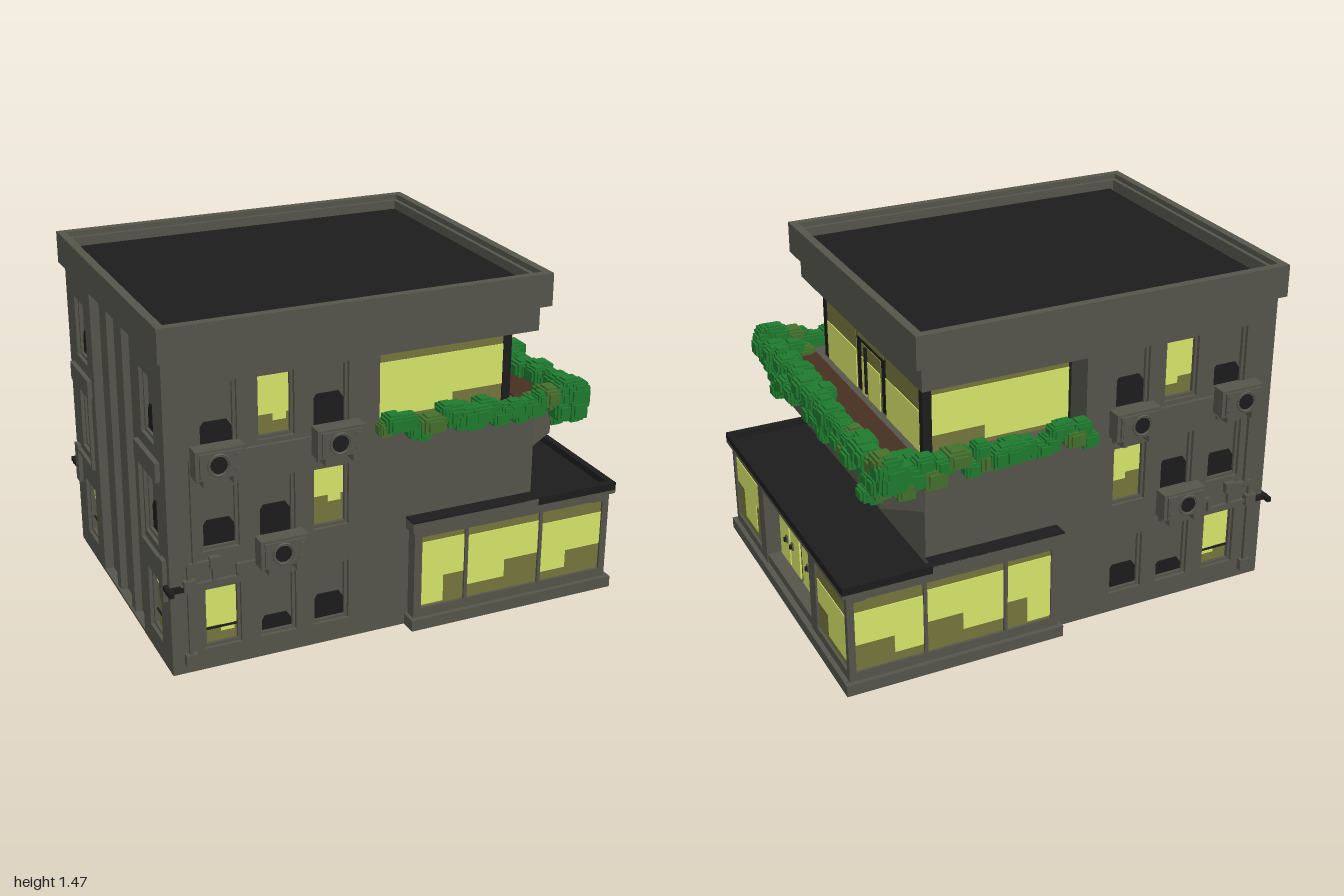
import * as THREE from 'three';
import { mergeGeometries } from 'three/addons/utils/BufferGeometryUtils.js';

const mat = (name, color) => Object.assign(new THREE.MeshStandardMaterial({ color }), { name });
const M = {
  wall: mat('wall grey', 0x55554b),
  dark: mat('charcoal', 0x1c1c1c),
  lit: mat('lit glass', 0xd8e66a),
  shade: mat('shaded glass', 0x75753d),
  leaf: mat('leaf green', 0x1f7a2e),
  moss: mat('moss green', 0x44702c),
  soil: mat('soil brown', 0x463020),
};

function add(parent, name, geometry, material) {
  const mesh = new THREE.Mesh(geometry, material);
  mesh.name = name;
  parent.add(mesh);
  return mesh;
}

// Box given by its limits
function slab(parent, name, x0, x1, y0, y1, z0, z1, material) {
  const mesh = add(parent, name, new THREE.BoxGeometry(x1 - x0, y1 - y0, z1 - z0), material);
  mesh.position.set((x0 + x1) / 2, (y0 + y1) / 2, (z0 + z1) / 2);
}

function group(parent, name, rotationY = 0) {
  const g = new THREE.Group();
  g.name = name;
  g.rotation.y = rotationY;
  parent.add(g);
  return g;
}

const poly = (S, points) => new S(points.map(p => new THREE.Vector2(...p)));
const rect = (S, x0, x1, y0, y1) => poly(S, [[x0, y0], [x1, y0], [x1, y1], [x0, y1]]);
const extrude = (shape, depth) => new THREE.ExtrudeGeometry(shape, { depth, bevelEnabled: false });
const extrudeUp = (shape, y0, y1) => extrude(shape, y1 - y0).rotateX(-Math.PI / 2).translate(0, y0, 0);

// Rectangle with a rectangular opening
function frameShape(x0, x1, y0, y1, w) {
  const shape = rect(THREE.Shape, x0, x1, y0, y1);
  shape.holes.push(rect(THREE.Path, x0 + w, x1 - w, y0 + w, y1 - w));
  return shape;
}

// Olive pane with bright rectangles [x0, x1, y0, y1] on it
function pane(parent, name, x0, x1, y0, y1, z, bright) {
  slab(parent, name, x0, x1, y0, y1, z, z + 0.004, M.shade);
  bright.forEach(b => slab(parent, name + 'Light', ...b, z + 0.003, z + 0.007, M.lit));
}

function pipe(parent, points, r = 0.008, material = M.wall) {
  points.slice(1).forEach((b, i) => {
    const a = points[i];
    const lo = k => Math.min(a[k], b[k]) - r, hi = k => Math.max(a[k], b[k]) + r;
    slab(parent, 'pipe', lo(0), hi(0), lo(1), hi(1), lo(2), hi(2), material);
  });
}

const ROWS = [0.09, 0.52, 0.95], WH = 0.268, WW = 0.078;

// Wall plate with recessed windows [centre x, row, h]: dark to height h, or lit above -h
function facade(parent, x0, x1, z, windows) {
  const shape = rect(THREE.Shape, x0, x1, 0, 1.33);
  for (const [x, row, h] of windows) {
    const y = ROWS[row], a = x - WW + 0.012, b = x + WW - 0.012;
    shape.holes.push(rect(THREE.Path, x - WW, x + WW, y, y + WH));
    add(parent, 'windowFrame', extrude(frameShape(x - WW, x + WW, y, y + WH, 0.012), 0.015).translate(0, 0, z + 0.01), M.wall);
    if (h > 0) {
      slab(parent, 'windowBlind', a, b, y, y + WH, z, z + 0.008, M.wall);
      add(parent, 'darkGlass', extrude(poly(THREE.Shape, [[a, y + 0.012], [b, y + 0.012], [b, y + h - 0.03],
        [b - 0.02, y + h], [a + 0.02, y + h], [a, y + h - 0.03]]), 0.006).translate(0, 0, z + 0.007), M.dark);
    } else {
      pane(parent, 'litWindow', a, b, y, y + WH, z + 0.003, [[a, b, y - h, y + 0.25], [x, b - 0.01, y - h - 0.03, y - h]]);
      if (row === 0) slab(parent, 'windowBar', a, b, y + 0.07, y + 0.078, z + 0.01, z + 0.016, M.dark);
    }
  }
  add(parent, 'facadeWall', extrude(shape, 0.04).translate(0, 0, z), M.wall);
}

function airConditioner(parent, x, y) {
  const g = group(parent, 'airConditioner');
  slab(g, 'casing', -0.1, 0.1, -0.06, 0.06, 0.015, 0.08, M.wall);
  slab(g, 'casingFront', -0.085, 0.085, -0.05, 0.05, 0.08, 0.09, M.wall);
  add(g, 'fanRing', new THREE.TorusGeometry(0.043, 0.004, 6, 20).translate(-0.01, 0, 0.09), M.wall);
  add(g, 'fan', new THREE.CylinderGeometry(0.034, 0.034, 0.006, 16).rotateX(Math.PI / 2).translate(-0.01, 0, 0.09), M.dark);
  for (const s of [-1, 1]) {
    slab(g, 'bracket', s * 0.06 - 0.01, s * 0.06 + 0.01, -0.09, -0.06, 0, 0.08, M.wall);
    slab(g, 'vent', 0.055, 0.078, s * 0.03 - 0.008, s * 0.03 + 0.008, 0.09, 0.094, M.wall);
  }
  slab(g, 'bracketRail', -0.075, 0.075, -0.1, -0.085, 0, 0.02, M.wall);
  g.position.set(x, y, 0.66);
}

// Everything that appears alike on the +z and -z sides
function longSide(root) {
  const g = group(root, 'longSide');
  const X = [-0.765, -0.53, -0.3];
  facade(g, -0.98, -0.09, 0.62, [
    [X[0], 0, -0.08], [X[1], 0, 0.075], [X[2], 0, 0.12],
    [X[0], 1, 0.12], [X[1], 1, 0.14], [X[2], 1, -0.13],
    [X[0], 2, 0.1], [X[1], 2, -0.09], [X[2], 2, 0.14]]);
  airConditioner(g, -0.785, 0.92);
  airConditioner(g, -0.288, 0.92);
  airConditioner(g, -0.53, 0.495);
  pipe(g, [[-0.7, 0.925, 0.67], [-0.38, 0.925, 0.67]]);
  pipe(g, [[-0.88, 0.91, 0.67], [-0.88, 0.47, 0.67], [-0.905, 0.47, 0.67], [-0.905, 0.05, 0.67]]);
  pipe(g, [[-0.93, 0.39, 0.67], [-0.7, 0.39, 0.67], [-0.7, 0.44, 0.67], [-0.63, 0.44, 0.67]]);
  pipe(g, [[-0.99, 0.385, 0.672], [-0.93, 0.385, 0.672]], 0.01, M.dark);
  pipe(g, [[-0.9, 0.48, 0.67], [-0.8, 0.48, 0.67], [-0.8, 0.39, 0.67]]);
  slab(g, 'junctionBox', -0.93, -0.88, 0.37, 0.42, 0.66, 0.69, M.wall);
  slab(g, 'junctionBox', -0.82, -0.775, 0.455, 0.5, 0.66, 0.685, M.wall);
  slab(g, 'drainFoot', -0.93, -0.88, 0.04, 0.09, 0.66, 0.685, M.wall);

  // Half of the rear wall
  const rear = group(g, 'rearWall', -Math.PI / 2);
  facade(rear, 0.29, 0.62, 0.94, [[0.46, 0, -0.2], [0.46, 1, 0.14], [0.46, 2, 0.12]]);
  slab(rear, 'rearRib', 0.08, 0.13, 0, 1.33, 0.94, 0.97, M.wall);
  slab(rear, 'rearBox', 0.33, 0.6, 0.82, 0.9, 0.98, 1, M.wall);
  slab(rear, 'rearJunction', 0.58, 0.63, 0.32, 0.5, 0.98, 0.998, M.wall);
  pipe(rear, [[0.36, 0.82, 0.988], [0.36, 0.48, 0.988], [0.58, 0.48, 0.988]]);
  pipe(rear, [[0.6, 0.385, 0.988], [0.7, 0.385, 0.988]], 0.01, M.dark);

  // Upper room glazing
  pane(g, 'upperGlass', -0.075, 0.53, 0.88, 1.185, 0.53, [[-0.075, 0.53, 0.96, 1.135], [-0.075, 0.3, 0.9, 0.96]]);
  slab(g, 'upperCornerPost', 0.53, 0.568, 0.88, 1.22, 0.505, 0.54, M.dark);

  // Shop windows
  pane(g, 'shopWindow', 0.085, 0.285, 0.09, 0.42, 0.7, [[0.085, 0.285, 0.22, 0.39], [0.085, 0.19, 0.1, 0.22]]);
  pane(g, 'shopWindow', 0.3, 0.64, 0.09, 0.42, 0.7, [[0.3, 0.64, 0.23, 0.38], [0.3, 0.48, 0.15, 0.23]]);
  pane(g, 'shopWindow', 0.655, 0.965, 0.09, 0.42, 0.7, [[0.655, 0.965, 0.21, 0.36], [0.655, 0.78, 0.13, 0.21]]);
  for (const [a, b] of [[0.05, 0.085], [0.285, 0.3], [0.64, 0.655], [0.965, 0.98]])
    slab(g, 'shopPost', a, b, 0.05, 0.45, 0.69, 0.715, M.wall);
  slab(g, 'shopSill', 0.05, 0.98, 0.05, 0.09, 0.69, 0.715, M.wall);
  slab(g, 'shopLintel', 0.05, 0.98, 0.42, 0.45, 0.69, 0.715, M.wall);
  slab(g, 'shopCornice', 0.035, 0.62, 0.45, 0.497, 0.66, 0.73, M.wall);
  slab(g, 'shopCorniceTop', 0.035, 0.62, 0.494, 0.5, 0.66, 0.73, M.dark);
  return g;
}

// Shop front with doors, and the upper room's end; here local x runs towards -z
function entranceSide(root) {
  const g = group(root, 'entranceSide', Math.PI / 2);
  for (const s of [-1, 1]) {
    const span = (a, b) => (s < 0 ? [-b, -a] : [a, b]);
    slab(g, 'shopFrontWall', ...span(0.285, 0.7), 0.05, 0.45, 0.9, 0.965, M.wall);
    slab(g, 'shopFrontPost', ...span(0.285, 0.357), 0.09, 0.42, 0.95, 0.98, M.wall);
    slab(g, 'shopFrontPost', ...span(0.688, 0.715), 0.09, 0.42, 0.95, 0.98, M.wall);
    slab(g, 'shopFrontSill', ...span(0.285, 0.715), 0.05, 0.09, 0.95, 0.98, M.wall);
    for (const [a, b, h] of [[0.018, 0.13, 0.098], [0.145, 0.268, 0.17]]) {
      slab(g, 'doorGlass', ...span(a, b), 0.095, 0.385, 0.91, 0.918, M.lit);
      slab(g, 'doorHandlePlate', ...span(h - 0.009, h + 0.009), 0.2, 0.235, 0.917, 0.925, M.wall);
      slab(g, 'doorHandle', ...span(h - 0.006, h + 0.006), 0.208, 0.227, 0.925, 0.935, M.dark);
    }
    // Upper end windows
    const [u, v] = span(0.162, 0.502);
    pane(g, 'upperEndGlass', u, v, 0.88, 1.185, 0.56, [[u, v, 0.88, 1.06]]);
  }
  pane(g, 'shopFrontWindow', -0.688, -0.357, 0.09, 0.42, 0.965, [[-0.688, -0.357, 0.265, 0.385], [-0.595, -0.43, 0.125, 0.265]]);
  pane(g, 'shopFrontWindow', 0.357, 0.688, 0.09, 0.42, 0.965, [[0.357, 0.688, 0.22, 0.33], [0.47, 0.688, 0.12, 0.22]]);
  slab(g, 'shopFrontLintel', -0.715, 0.715, 0.415, 0.45, 0.9, 0.98, M.wall);
  slab(g, 'doorStep', -0.285, 0.285, 0.05, 0.09, 0.9, 0.975, M.wall);
  pane(g, 'balconyDoor', -0.105, 0.105, 0.88, 1.11, 0.56, [[-0.1, -0.055, 0.88, 1.05], [-0.035, 0.1, 0.88, 1.05]]);
  pane(g, 'transom', -0.145, 0.145, 1.13, 1.185, 0.56, []);
  slab(g, 'balconyDoorHandle', -0.052, -0.038, 0.9, 1.11, 0.56, 0.575, M.dark);
}

// Blocky clumps of leaves along the balcony edge
function hedge(root) {
  const g = group(root, 'hedge');
  const ball = mergeGeometries([[2, 1.1, 1.1], [1.1, 2, 1.1], [1.1, 1.1, 2], [1.6, 1.6, 1.6]].map(s => new THREE.BoxGeometry(...s)));
  let seed = 7;
  const rnd = () => (seed = (seed * 16807) % 2147483647) / 2147483647;
  const vary = (v, d) => v + (rnd() - 0.5) * d;
  const clump = (x, y, z, r) => {
    const m = add(g, 'leafClump', ball, rnd() < 0.14 ? M.moss : M.leaf);
    m.position.set(x, y, z);
    m.scale.set(r * vary(1, 0.4), r * vary(0.9, 0.3), r * vary(1, 0.4));
  };
  for (const s of [-1, 1]) {
    for (let x = -0.08; x < 0.76; x += 0.034)
      clump(x, vary(x < 0.4 ? 0.92 : 0.905, 0.07), s * vary(0.685, 0.02), vary(0.042, 0.016));
    for (let i = 0; i < 4; i++) clump(0.25 + i * 0.026, vary(0.915, 0.04), s * 0.715, 0.045);
    // Hanging tufts and full corners
    for (let i = 0; i < 8; i++) clump(vary(0.785, 0.03), 0.765 + i * 0.014, s * vary(0.52, 0.03 + i * 0.014), 0.042);
    for (let i = 0; i < 9; i++) clump(vary(0.76, 0.08), vary(0.915, 0.11), s * vary(0.69, 0.06), 0.05);
    for (let i = 0; i < 12; i++) clump(vary(0.71, 0.12), vary(0.9, 0.04), s * vary(0.635, 0.1), 0.045);
  }
  for (let z = -0.68; z <= 0.69; z += 0.036) {
    clump(vary(0.78, 0.05), vary(0.925, 0.025), z, vary(0.044, 0.014));
    clump(vary(0.79, 0.05), vary(0.872, 0.035), z, vary(0.042, 0.014));
  }
  for (let i = 0; i < 8; i++) clump(vary(0.77, 0.05), 0.82 + i * 0.018, vary(0.01, 0.16), 0.042);
}

export function createModel() {
  const root = new THREE.Group();
  root.name = 'cornerBuilding';

  // Main block, set back around the upper room
  slab(root, 'mainCore', -0.94, -0.09, 0, 1.33, -0.62, 0.62, M.wall);
  slab(root, 'rearFoot', -0.979, -0.94, 0, 0.012, -0.65, 0.65, M.wall);
  slab(root, 'lowerBlock', -0.09, 0.62, 0, 0.88, -0.66, 0.66, M.wall);
  slab(root, 'upperRoom', -0.09, 0.56, 0.88, 1.22, -0.53, 0.53, M.dark);
  slab(root, 'upperSlab', -0.09, 0.62, 1.22, 1.33, -0.66, 0.66, M.wall);

  // Roof with stepped parapet
  slab(root, 'roofBase', -1, 0.655, 1.33, 1.395, -0.695, 0.695, M.wall);
  const rim = (x0, x1, z, w, top) => add(root, 'parapet', extrudeUp(frameShape(x0, x1, -z, z, w), 1.395, top), M.wall);
  rim(-1, 0.655, 0.695, 0.035, 1.468);
  rim(-0.965, 0.62, 0.66, 0.018, 1.445);
  slab(root, 'roofDeck', -0.93, 0.605, 1.395, 1.405, -0.645, 0.645, M.dark);

  // Balcony planter with chamfered ends
  const plan = (x, z) => poly(THREE.Shape, [[0.6, -z], [0.62, -z], [x, -z + 0.1], [x, z - 0.1], [0.62, z], [0.6, z]]);
  add(root, 'planter', extrudeUp(plan(0.765, 0.655), 0.705, 0.88), M.wall);
  add(root, 'planterSoil', extrudeUp(plan(0.76, 0.635), 0.88, 0.888), M.soil);

  // Shop extension
  slab(root, 'shopBase', 0.035, 1, 0, 0.05, -0.735, 0.735, M.wall);
  slab(root, 'shopBody', 0.05, 0.91, 0.05, 0.45, -0.7, 0.7, M.wall);
  slab(root, 'shopRoofEdge', 0.62, 1, 0.45, 0.466, -0.73, 0.73, M.wall);
  slab(root, 'shopRoof', 0.6, 0.99, 0.46, 0.472, -0.72, 0.72, M.dark);
  slab(root, 'shopRoofTrim', 0.97, 1, 0.466, 0.5, -0.73, 0.73, M.dark);
  for (const s of [-1, 1]) slab(root, 'shopRoofTrim', 0.62, 0.97, 0.466, 0.5, s * 0.715 - 0.015, s * 0.715 + 0.015, M.dark);

  longSide(root);
  longSide(root).scale.z = -1;
  entranceSide(root);
  hedge(root);
  return root;
}
